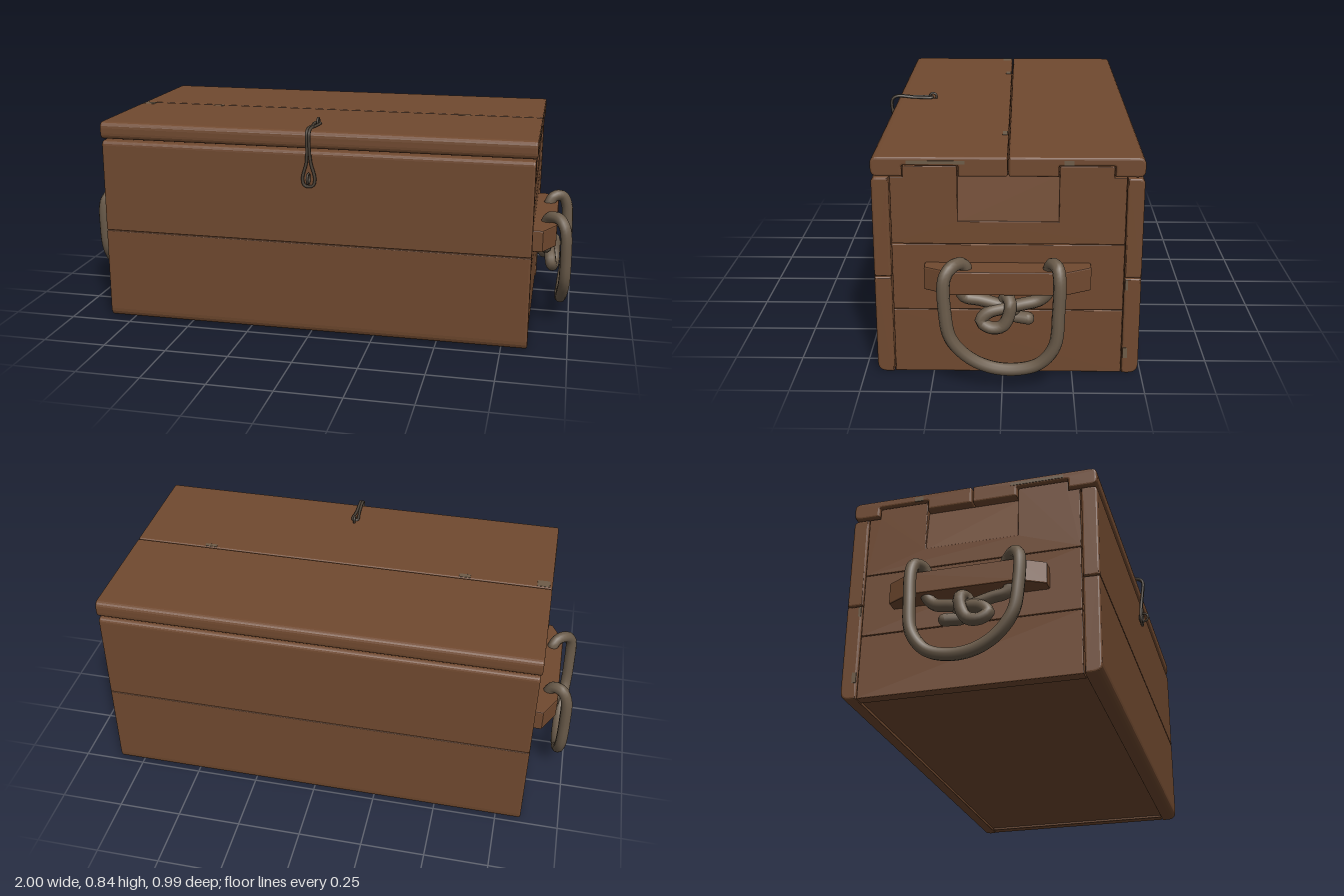
import * as THREE from 'three';
import { RoundedBoxGeometry } from 'three/addons/geometries/RoundedBoxGeometry.js';

const material = (name, color) => {
  const m = new THREE.MeshStandardMaterial({ color });
  m.name = name;
  return m;
};

export function createModel() {
  const wood = material('brown wood', 0x70492f);
  const rope = material('grey rope', 0x6a5b4a);
  const iron = material('dark iron', 0x4b4238);
  const worn = material('worn wood', 0x6e5c48);
  const chest = new THREE.Group();
  chest.name = 'chest';

  const add = (name, geometry, mat, parent = chest) => {
    const mesh = new THREE.Mesh(geometry, mat);
    mesh.name = name;
    parent.add(mesh);
    return mesh;
  };

  // Outline from [z, y, cornerRadius] points, with rounded corners
  const outline = (pts) => {
    const s = new THREE.Shape();
    pts.forEach(([z, y, r = 0], i) => {
      const p = new THREE.Vector2(z, y);
      const toward = (q) => new THREE.Vector2(q[0], q[1]).sub(p).setLength(r).add(p);
      const a = toward(pts[(i + pts.length - 1) % pts.length]);
      const b = toward(pts[(i + 1) % pts.length]);
      if (i === 0) s.moveTo(a.x, a.y); else s.lineTo(a.x, a.y);
      if (r > 0) s.quadraticCurveTo(z, y, b.x, b.y);
    });
    s.closePath();
    return s;
  };

  // Board whose zy outline runs along x from x0 to x1
  const board = (name, pts, x0, x1, bevel) => {
    const g = new THREE.ExtrudeGeometry(outline(pts), {
      depth: x1 - x0 - 2 * bevel, bevelEnabled: true, bevelThickness: bevel,
      bevelSize: bevel, bevelOffset: -bevel, bevelSegments: 3, curveSegments: 5,
    });
    g.translate(0, 0, bevel - (x1 - x0) / 2);
    g.rotateY(-Math.PI / 2);
    g.translate((x0 + x1) / 2, 0, 0);
    return add(name, g, wood);
  };

  // Front and back walls, two planks each
  for (const [name, inner, outer] of [['front', 0.394, 0.455], ['back', -0.43, -0.49]]) {
    board(name + 'LowerPlank', [[inner, 0.003, 0.003], [outer, 0.003, 0.035],
      [outer, 0.374, 0.004], [inner, 0.374, 0.003]], -0.85, 0.85, 0.008);
    board(name + 'UpperPlank', [[inner, 0.376, 0.003], [outer, 0.376, 0.004],
      [outer, 0.745, 0.02], [inner, 0.745, 0.003]], -0.85, 0.85, 0.008);
  }

  // Lid planks, notched underneath for the end-wall tongues
  board('lidFrontPlank', [[-0.017, 0.75, 0.008], [0.153, 0.75], [0.153, 0.789, 0.006],
    [0.347, 0.789, 0.006], [0.347, 0.75], [0.455, 0.75, 0.025], [0.455, 0.82, 0.025],
    [-0.017, 0.82, 0.008]], -0.855, 0.855, 0.008);
  board('lidBackPlank', [[-0.49, 0.75, 0.025], [-0.387, 0.75], [-0.387, 0.789, 0.006],
    [-0.193, 0.789, 0.006], [-0.193, 0.75], [-0.021, 0.75, 0.008], [-0.021, 0.82, 0.008],
    [-0.49, 0.82, 0.025]], -0.855, 0.855, 0.008);

  // Recessed floor
  const floor = add('floor', new THREE.BoxGeometry(1.64, 0.04, 0.83), wood);
  floor.position.set(0, 0.034, -0.02);

  for (const side of [-1, 1]) {
    const label = side > 0 ? 'left' : 'right';
    const span = (a, b) => (side > 0 ? [a, b] : [-b, -a]);
    const [x0, x1] = span(0.8, 0.845);

    // End wall planks
    board(label + 'EndLowerPlank', [[-0.428, 0.005], [0.39, 0.005], [0.39, 0.249],
      [-0.428, 0.249]], x0, x1, 0.003);
    board(label + 'EndMiddlePlank', [[-0.428, 0.251], [0.39, 0.251], [0.39, 0.499],
      [-0.428, 0.499]], x0, x1, 0.003);
    board(label + 'EndUpperPlank', [[-0.428, 0.501], [0.39, 0.501], [0.39, 0.745],
      [0.345, 0.745], [0.345, 0.786, 0.008], [0.157, 0.786, 0.008], [0.157, 0.585],
      [-0.196, 0.585], [-0.196, 0.786, 0.008], [-0.385, 0.786, 0.008], [-0.385, 0.745],
      [-0.428, 0.745]], x0, x1, 0.003);
    const panel = add(label + 'EndRecess', new THREE.BoxGeometry(0.02, 0.17, 0.36), wood);
    panel.position.set(side * 0.822, 0.663, -0.02);
    panel.rotation.z = side * 0.12;

    // Cleat with chamfered outer ends
    const handle = new THREE.Group();
    handle.name = label + 'Handle';
    chest.add(handle);
    const plan = new THREE.Shape([[0.84, -0.31], [0.885, -0.31], [0.935, -0.215],
      [0.935, 0.18], [0.885, 0.275], [0.84, 0.275]]
      .map(([x, z]) => new THREE.Vector2(side * x, -z)));
    const cleat = new THREE.ExtrudeGeometry(plan, {
      depth: 0.077, bevelThickness: 0.005, bevelSize: 0.005, bevelOffset: -0.005, bevelSegments: 2,
    });
    cleat.rotateX(-Math.PI / 2);
    cleat.translate(0, 0.349, 0);
    add(label + 'Cleat', cleat, wood, handle);

    // Rope handle, threaded through the cleat and knotted below it
    const path = [
      [0.895, 0.275, -0.04], [0.895, 0.295, 0.02], [0.895, 0.312, 0.08], [0.895, 0.325, 0.135],
      [0.895, 0.37, 0.145], [0.895, 0.43, 0.128], [0.91, 0.453, 0.145], [0.945, 0.453, 0.175],
      [0.968, 0.42, 0.198], [0.976, 0.3, 0.198], [0.975, 0.2, 0.18], [0.967, 0.125, 0.12],
      [0.962, 0.083, 0.04], [0.962, 0.075, -0.05], [0.967, 0.1, -0.13], [0.975, 0.17, -0.182],
      [0.976, 0.3, -0.195], [0.968, 0.42, -0.197], [0.948, 0.455, -0.19], [0.915, 0.455, -0.172],
      [0.895, 0.42, -0.162], [0.895, 0.345, -0.16], [0.895, 0.312, -0.13], [0.9, 0.297, -0.07],
      [0.905, 0.285, -0.01], [0.912, 0.27, 0.05], [0.918, 0.24, 0.075], [0.925, 0.217, 0.04],
      [0.928, 0.225, 0], [0.928, 0.265, -0.022], [0.925, 0.312, -0.028], [0.9, 0.325, -0.015],
      [0.88, 0.28, 0], [0.885, 0.25, -0.03], [0.9, 0.243, -0.09],
    ].map(([x, y, z]) => new THREE.Vector3(side * x, y, z));
    const curve = new THREE.CatmullRomCurve3(path);
    add(label + 'Rope', new THREE.TubeGeometry(curve, 170, 0.023, 10), rope, handle);
    for (const p of [path[0], path[path.length - 1]]) {
      add(label + 'RopeEnd', new THREE.SphereGeometry(0.023, 10, 8), rope, handle).position.copy(p);
    }

    // Worn patches on the end faces
    for (const [z, y, w, h, x] of [[0.23, 0.802, 0.2, 0.012, 0.855], [-0.228, 0.8, 0.034, 0.018, 0.855],
      [-0.441, 0.085, 0.016, 0.04, 0.85], [-0.438, 0.35, 0.01, 0.04, 0.85]]) {
      add('endWear', new THREE.BoxGeometry(0.003, h, w), worn).position.set(side * x, y, z);
    }
  }

  // Worn patches along the lid seam
  for (const [x, z, w, d] of [[-0.82, 0.008, 0.05, 0.04], [-0.51, -0.002, 0.045, 0.022],
    [0.54, -0.004, 0.05, 0.018]]) {
    add('lidWear', new RoundedBoxGeometry(w, 0.003, d, 1, 0.001), worn).position.set(x, 0.8195, z);
  }

  // Wire latch: a hairpin over the lid edge, ending in a teardrop loop
  const latch = new THREE.Group();
  latch.name = 'latch';
  chest.add(latch);
  const half = [[0.009, 0.826, 0.31], [0.006, 0.826, 0.38], [0.005, 0.83, 0.455],
    [0.005, 0.815, 0.476], [0.005, 0.75, 0.473], [0.009, 0.7, 0.467],
    [0.024, 0.64, 0.466], [0.018, 0.613, 0.466]];
  const mirrored = half.map(([x, y, z]) => [-x, y, z]).reverse();
  const wire = [...half, [0, 0.607, 0.466], ...mirrored].map((p) => new THREE.Vector3(...p));
  add('latchHook', new THREE.TubeGeometry(
    new THREE.CatmullRomCurve3(wire, true), 110, 0.006, 6, true), iron, latch);
  for (const [name, y, z, r] of [['lidStaple', 0.829, 0.305, 0.014], ['frontStaple', 0.64, 0.474, 0.019]]) {
    const ring = add(name, new THREE.TorusGeometry(r, 0.005, 6, 16), iron, latch);
    ring.rotation.y = Math.PI / 2;
    ring.position.set(0, y, z);
  }
  return chest;
}
